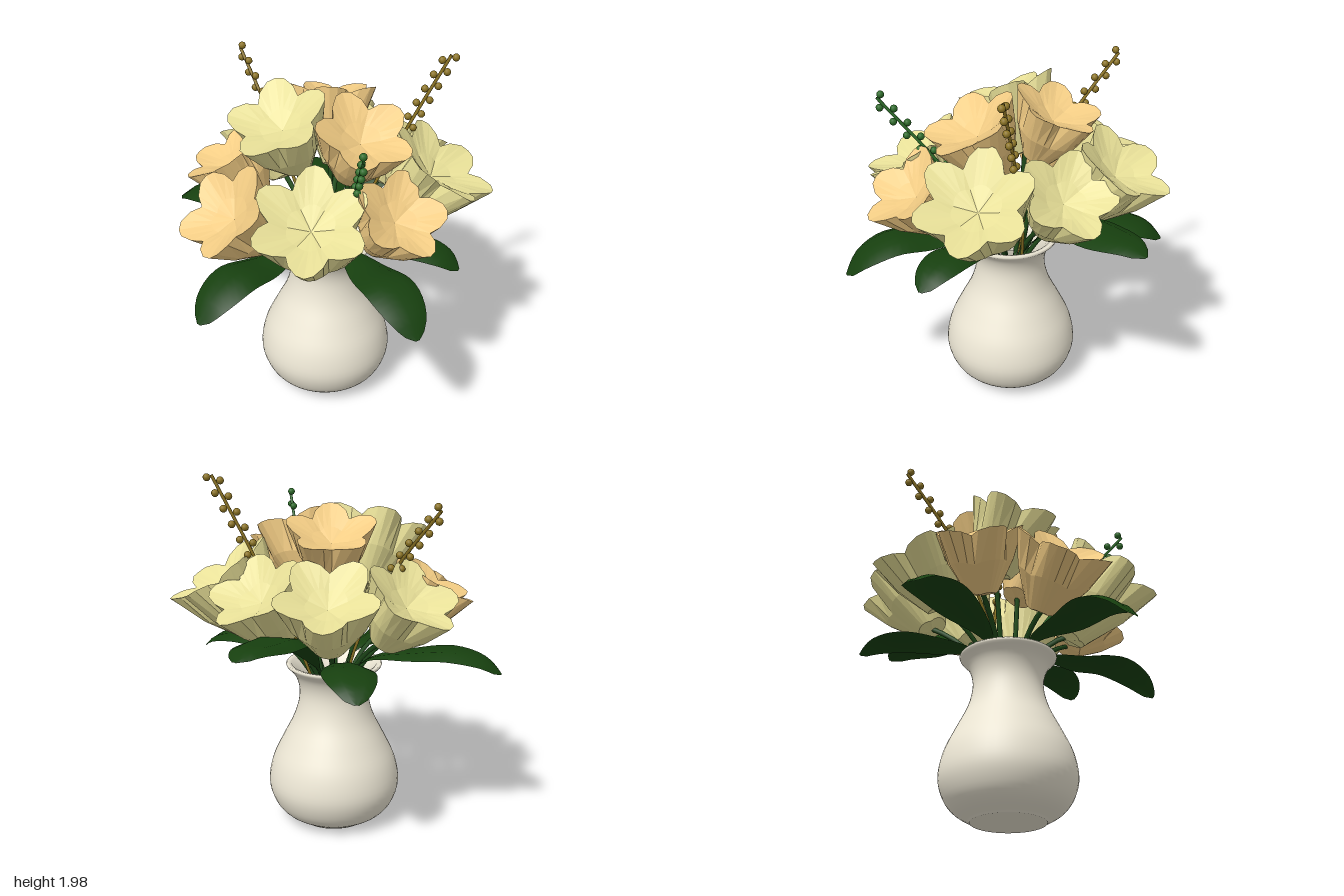
import * as THREE from 'three';

const VX = -0.02, VZ = 0.02; // vase axis
const V = (x, y, z) => new THREE.Vector3(x, y, z);
const mat = (color, extra = {}) => new THREE.MeshStandardMaterial({ color, side: THREE.DoubleSide, ...extra });

function mesh(name, geometry, material) {
  const m = new THREE.Mesh(geometry, material);
  m.name = name;
  return m;
}

// Skin a list of rows of points; closed joins the last column to the first
function loft(rows, closed) {
  const n = rows[0].length, index = [];
  for (let i = 0; i < rows.length - 1; i++) {
    for (let j = 0; j < (closed ? n : n - 1); j++) {
      const a = i * n + j, b = i * n + (j + 1) % n;
      index.push(a, b, b + n, a, b + n, a + n);
    }
  }
  const g = new THREE.BufferGeometry().setFromPoints(rows.flat());
  g.setIndex(index);
  g.computeVertexNormals();
  return g;
}

// Faceted bell: outer wall up to a scalloped rim, then a shallow star-shaped cup.
// Each petal entry: fraction of its sector, radius, height
const PETAL = [[0, 0.68, -0.14], [0.17, 0.83, -0.05], [0.36, 0.97, 0], [0.5, 1.01, 0], [0.64, 0.97, 0], [0.83, 0.83, -0.05]];
function bellGeometry(petals, R, length, phase) {
  const ring = (radius, y, lobe) => {
    const pts = [];
    for (let p = 0; p < petals; p++) {
      for (const [f, r, dy] of PETAL) {
        const t = phase + (p + f - 0.5) * Math.PI * 2 / petals;
        const rad = R * radius * (1 + (r - 1) * lobe);
        pts.push(V(Math.sin(t) * rad, R * (y + dy * lobe), Math.cos(t) * rad));
      }
    }
    return pts;
  };
  return loft([
    ring(0, -length - 0.06, 0), ring(0.34, -length, 0.2), ring(0.74, -length / 2, 0.5), ring(1, 0, 1),
    ring(0.42, -0.26, 0.3), ring(0, -0.42, 0)
  ], true);
}

function makeFlower(material, stemMat, petals, length, R, centre, axis, phase) {
  const g = new THREE.Group();
  g.name = 'flower';
  const c = V(...centre), n = V(...axis).normalize();
  const head = mesh('blossom', bellGeometry(petals, R, length, phase), material);
  head.position.copy(c);
  head.rotation.set(Math.acos(n.y), Math.atan2(n.x, n.z), 0, 'YXZ');
  const base = c.clone().addScaledVector(n, -R * length);
  const out = V(base.x - VX, 0, base.z - VZ).normalize();
  const path = new THREE.QuadraticBezierCurve3(
    V(VX + out.x * 0.02, 0.55, VZ + out.z * 0.02),
    V(VX + out.x * 0.1, 0.98, VZ + out.z * 0.1), base);
  g.add(head, mesh('flowerStem', new THREE.TubeGeometry(path, 10, 0.014, 6), stemMat));
  return g;
}

// Broad arching leaf from the vase mouth to its tip
function leafGeometry([tx, ty, tz], peak, W) {
  const at = (f, y) => V(VX + (tx - VX) * f, y, VZ + (tz - VZ) * f);
  const path = new THREE.CatmullRomCurve3([
    at(0.04, 0.75), at(0.2, 0.96), at(0.5, peak - 0.03), at(0.72, peak), at(0.9, (peak + ty) / 2 + 0.02), at(1, ty)
  ]);
  const side = V(tz - VZ, 0, VX - tx).normalize();
  const rows = [];
  for (let i = 0; i <= 24; i++) {
    const u = i / 24, p = path.getPointAt(u);
    const v = Math.max(0, (u - 0.2) / 0.8);
    const w = 0.01 + W * Math.pow(Math.max(0, Math.sin(Math.PI * Math.pow(v, 1.4))), 0.7);
    rows.push([-1, -0.5, 0, 0.5, 1].map(s => {
      const q = p.clone().addScaledVector(side, s * w);
      q.y += w * (s === 0 ? -0.12 : -0.32 * s * s);
      return q;
    }));
  }
  return loft(rows, false);
}

// Thin stalk with berries alternating above and below its outer part
function makeSprig(material, points, start, count) {
  const g = new THREE.Group();
  g.name = 'berrySprig';
  const path = new THREE.CatmullRomCurve3(points.map(p => V(...p)));
  g.add(mesh('sprigStalk', new THREE.TubeGeometry(path, 20, 0.009, 6), material));
  const berry = new THREE.SphereGeometry(0.02, 10, 8);
  for (let i = 0; i < count; i++) {
    const u = start + (1 - start) * i / (count - 1);
    const t = path.getTangentAt(u);
    const across = t.clone().cross(V(0, 1, 0).cross(t).normalize());
    const m = mesh('berry', berry, material);
    m.position.copy(path.getPointAt(u)).addScaledVector(across, i % 2 ? 0.027 : -0.027);
    g.add(m);
  }
  return g;
}

export function createModel() {
  const model = new THREE.Group();
  model.name = 'flowerVase';
  const pale = mat(0xe8e098, { flatShading: true });
  const peach = mat(0xf2cc84, { flatShading: true });
  const green = mat(0x17400f), stemGreen = mat(0x1f4a1a);
  const gold = mat(0x8c7424), berryGreen = mat(0x2c6a28);

  // Vase: smooth outer curve, flared lip, open neck
  const points = list => list.map(p => new THREE.Vector2(...p));
  const outer = new THREE.SplineCurve(points([
    [0.2, 0.005], [0.285, 0.055], [0.34, 0.125], [0.368, 0.23], [0.345, 0.36], [0.285, 0.49], [0.225, 0.61],
    [0.196, 0.71], [0.194, 0.79], [0.218, 0.86], [0.262, 0.91]
  ])).getPoints(40);
  const profile = [...points([[0, 0], [0.2, 0]]), ...outer,
    ...points([[0.266, 0.92], [0.26, 0.928], [0.235, 0.922], [0.195, 0.86], [0.172, 0.79], [0.175, 0.7]])];
  const vase = mesh('vase', new THREE.LatheGeometry(profile, 48), mat(0xeee8d6));
  vase.position.set(VX, 0, VZ);
  model.add(vase);

  // Pale flowers: petals, length, radius, mouth centre, facing (one petal points outward)
  for (const [petals, length, R, c, n] of [
    [6, 1.45, 0.305, [-0.04, 1.39, 0.585], [0, 0.85, 0.53]],
    [6, 1.32, 0.31, [0.61, 1.46, 0.03], [0.55, 0.83, 0]],
    [5, 1.36, 0.27, [0.03, 1.47, -0.61], [0.05, 0.86, -0.5]],
    [5, 1.36, 0.26, [-0.42, 1.43, -0.44], [-0.4, 0.82, -0.4]],
    [5, 1.36, 0.26, [0.4, 1.45, -0.4], [0.4, 0.82, -0.4]],
    [5, 1.4, 0.27, [-0.26, 1.71, 0.12], [-0.22, 0.86, 0.36]]
  ]) model.add(makeFlower(pale, stemGreen, petals, length, R, c, n, 0));

  // Peach flowers: radius, mouth centre, facing, turn
  for (const [R, c, n, phase] of [
    [0.26, [0.2, 1.68, 0.18], [0.25, 0.88, 0.36], Math.PI],
    [0.24, [0, 1.73, -0.25], [0, 0.93, -0.36], Math.PI],
    [0.245, [-0.57, 1.42, -0.05], [-0.5, 0.85, 0], Math.PI],
    [0.27, [-0.51, 1.32, 0.41], [-0.5, 0.74, 0.42], Math.PI],
    [0.25, [0.41, 1.38, 0.46], [0.4, 0.8, 0.42], 0]
  ]) model.add(makeFlower(peach, stemGreen, 5, 1.36, R, c, n, phase));

  // Leaves: tip, crest height, half width
  for (const [tip, peak, w] of [
    [[-0.89, 0.96, -0.32], 1.08, 0.13],
    [[0.47, 1.19, -0.8], 1.23, 0.14],
    [[-0.11, 0.97, -0.8], 1.08, 0.13],
    [[-0.59, 0.84, 0.74], 1.03, 0.13],
    [[0.51, 0.85, 0.78], 1.04, 0.13],
    [[0.71, 0.95, 0.29], 1.06, 0.115]
  ]) model.add(mesh('leaf', leafGeometry(tip, peak, w), green));

  // Berry sprigs: colour, stalk path, first berry, berry count
  for (const [m, path, start, count] of [
    [gold, [[0.02, 0.6, -0.04], [0.17, 1.05, -0.1], [0.4, 1.55, -0.12], [0.61, 1.975, -0.12]], 0.58, 15],
    [gold, [[-0.04, 0.6, 0], [-0.14, 1.05, -0.06], [-0.33, 1.5, -0.23], [-0.53, 1.84, -0.45]], 0.58, 14],
    [berryGreen, [[0.02, 0.6, 0.05], [0.1, 1.05, 0.13], [0.16, 1.4, 0.36], [0.22, 1.76, 0.66]], 0.52, 14]
  ]) model.add(makeSprig(m, path, start, count));

  return model;
}
